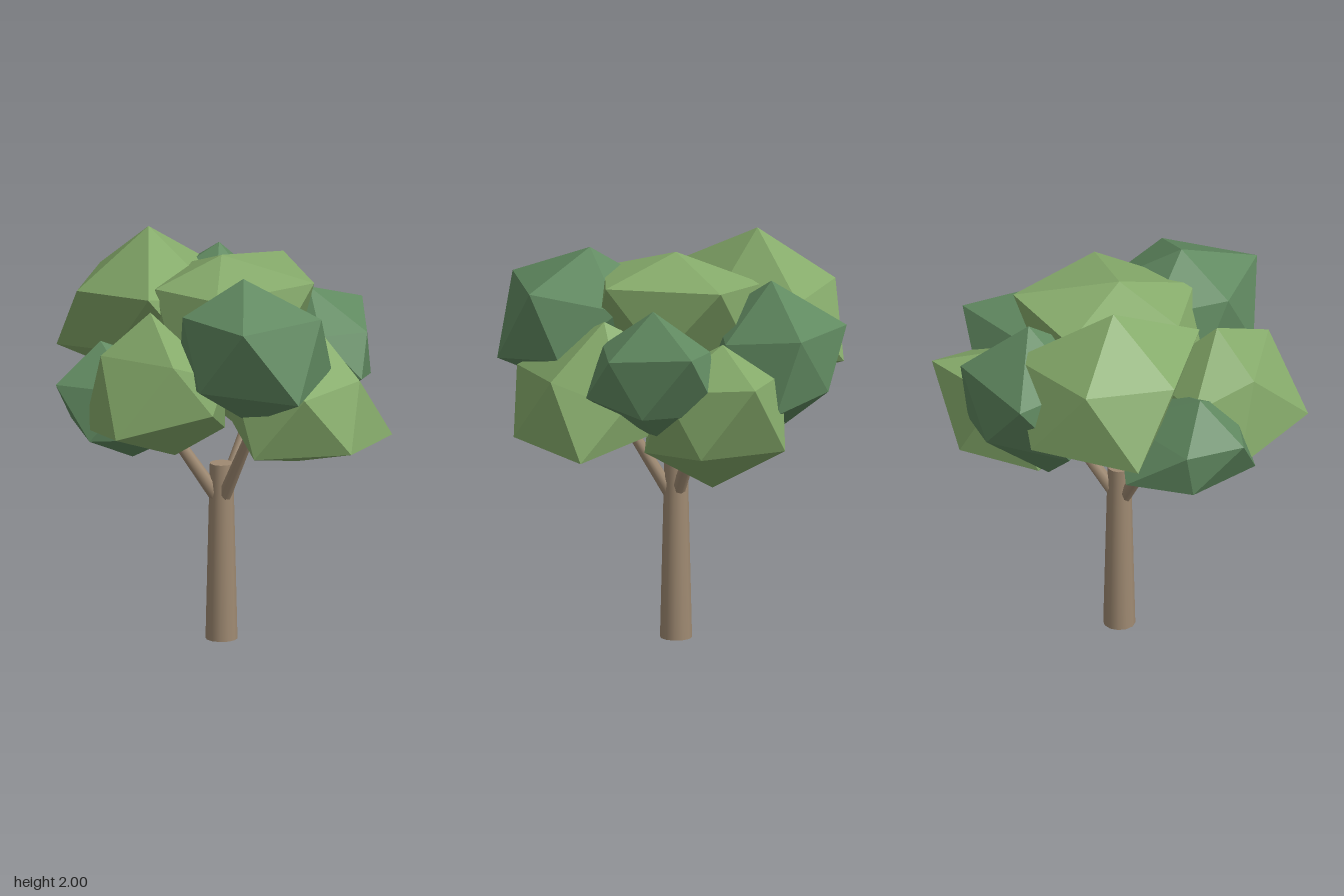
import * as THREE from 'three';

const lightLeaf = new THREE.MeshStandardMaterial({ color: 0x86ab6b });
lightLeaf.name = 'light leaf green';
const darkLeaf = new THREE.MeshStandardMaterial({ color: 0x618a61 });
darkLeaf.name = 'dark leaf green';
const bark = new THREE.MeshStandardMaterial({ color: 0x9f8a72 });
bark.name = 'bark brown';

// Leaf clump: 20-sided ball with a top, an upper ring (u0-u4), a lower ring (l0-l4)
// and a bottom. Corners named in "moved" are pulled out to the given points.
function clump(name, material, [cx, cy, cz], radius, height, moved) {
  const p = { top: [cx, cy + height, cz], bottom: [cx, cy - height, cz] };
  for (let i = 0; i < 5; i++) {
    const a = (i * 2 * Math.PI) / 5, b = a + Math.PI / 5, r = radius * 0.894;
    p['u' + i] = [cx + r * Math.cos(a), cy + height * 0.447, cz + r * Math.sin(a)];
    p['l' + i] = [cx + r * Math.cos(b), cy - height * 0.447, cz + r * Math.sin(b)];
  }
  Object.assign(p, moved);
  const verts = [];
  const face = (...keys) => keys.forEach((k) => verts.push(...p[k]));
  for (let i = 0; i < 5; i++) {
    const j = (i + 1) % 5;
    face('top', 'u' + j, 'u' + i);
    face('u' + i, 'u' + j, 'l' + i);
    face('l' + i, 'u' + j, 'l' + j);
    face('l' + i, 'l' + j, 'bottom');
  }
  const geo = new THREE.BufferGeometry();
  geo.setAttribute('position', new THREE.Float32BufferAttribute(verts, 3));
  geo.computeVertexNormals(); // unshared corners give flat facets
  const mesh = new THREE.Mesh(geo, material);
  mesh.name = name;
  return mesh;
}

// Tapered round limb between two points
function limb(name, from, to, r0, r1, sides) {
  const a = new THREE.Vector3(...from), b = new THREE.Vector3(...to);
  const dir = b.clone().sub(a);
  const mesh = new THREE.Mesh(new THREE.CylinderGeometry(r1, r0, dir.length(), sides), bark);
  mesh.position.copy(a).add(b).multiplyScalar(0.5);
  mesh.quaternion.setFromUnitVectors(new THREE.Vector3(0, 1, 0), dir.normalize());
  mesh.name = name;
  return mesh;
}

export function createModel() {
  const tree = new THREE.Group();
  tree.name = 'tree';

  // Trunk and three branches
  tree.add(
    limb('trunk', [0, 0, 0.02], [0, 0.88, 0.02], 0.078, 0.057, 12),
    limb('leftBranch', [0.02, 0.73, 0.02], [0.25, 1.08, 0.02], 0.035, 0.026, 8),
    limb('frontBranch', [-0.01, 0.71, 0.04], [-0.08, 1.08, 0.25], 0.035, 0.026, 8),
    limb('backBranch', [-0.02, 0.71, 0.01], [-0.19, 1.08, -0.17], 0.035, 0.026, 8),
  );

  // Crown
  tree.add(
    clump('frontClump', lightLeaf, [0.05, 1.3, 0.47], 0.42, 0.35, {
      top: [0.12, 1.65, 0.46], bottom: [0.02, 0.955, 0.46],
      u0: [0.43, 1.28, 0.5], u1: [0.13, 1.38, 0.75], u2: [-0.3, 1.37, 0.73],
      l0: [0.43, 1.04, 0.73], l1: [-0.08, 1.07, 0.85], l2: [-0.4, 1.06, 0.5],
    }),
    clump('upperFrontClump', darkLeaf, [-0.27, 1.56, 0.38], 0.4, 0.36, {
      top: [-0.28, 1.92, 0.35],
      u0: [0.12, 1.69, 0.38], u1: [-0.16, 1.75, 0.73], u2: [-0.63, 1.75, 0.6], u3: [-0.52, 1.75, 0.16],
      l0: [0.02, 1.45, 0.66], l1: [-0.42, 1.38, 0.78], l2: [-0.63, 1.42, 0.34],
    }),
    clump('frontLeftClump', darkLeaf, [0.43, 1.42, 0.3], 0.36, 0.31, {
      top: [0.34, 1.735, 0.3],
      u0: [0.78, 1.59, 0.3], u1: [0.43, 1.53, 0.58], u2: [0.17, 1.55, 0.49], u4: [0.48, 1.54, 0.06],
      l0: [0.6, 1.27, 0.48], l1: [0.3, 1.33, 0.64],
    }),
    clump('leftClump', lightLeaf, [0.48, 1.2, 0.02], 0.4, 0.35, {
      top: [0.45, 1.56, -0.02], bottom: [0.44, 0.85, 0.03],
      u0: [0.91, 1.44, 0.02], u1: [0.56, 1.38, 0.34], u4: [0.58, 1.42, -0.28],
      l0: [0.76, 1.08, 0.24], l4: [0.76, 1.08, -0.21],
    }),
    clump('rightClump', lightLeaf, [-0.5, 1.28, -0.02], 0.4, 0.33, {
      top: [-0.48, 1.73, -0.06],
      u2: [-0.71, 1.55, 0.24], u3: [-0.67, 1.53, -0.22],
      l1: [-0.52, 1.28, 0.34], l2: [-0.915, 1.2, 0.045],
      bottom: [-0.43, 1.02, 0.05],
    }),
    clump('backRightClump', darkLeaf, [-0.32, 1.21, -0.28], 0.34, 0.275, {
      top: [-0.42, 1.52, -0.4],
      u3: [-0.64, 1.33, -0.51], u4: [-0.37, 1.31, -0.61],
      l2: [-0.68, 1.09, -0.28], l3: [-0.4, 1.1, -0.59], l4: [-0.07, 1.12, -0.55],
    }),
    clump('backLeftClump', darkLeaf, [0.42, 1.48, -0.32], 0.37, 0.35, {
      top: [0.42, 1.845, -0.295], bottom: [0.32, 1.05, -0.34],
      u0: [0.75, 1.61, -0.3], u1: [0.46, 1.56, -0.03], u4: [0.435, 1.585, -0.69],
      l0: [0.72, 1.25, -0.18], l4: [0.61, 1.31, -0.51], l3: [0.2, 1.27, -0.59],
    }),
    clump('topClump', lightLeaf, [0, 1.62, 0.02], 0.45, 0.3, {
      top: [0, 1.925, 0.02],
      u0: [0.515, 1.83, 0.02], u1: [0.15, 1.82, 0.465], u2: [-0.35, 1.8, 0.24],
      u3: [-0.3, 1.79, -0.16], u4: [0.22, 1.78, -0.34],
    }),
    clump('topBackClump', lightLeaf, [0, 1.6, -0.42], 0.45, 0.38, {
      top: [0, 2, -0.415],
      u0: [0.48, 1.73, -0.41], u1: [0.15, 1.65, -0.08], u2: [-0.4, 1.76, -0.13],
      u3: [-0.31, 1.71, -0.62], u4: [0.11, 1.735, -0.78],
      l2: [-0.24, 1.42, -0.45], l3: [-0.15, 1.37, -0.855], l4: [0.38, 1.39, -0.7],
    }),
  );
  return tree;
}
